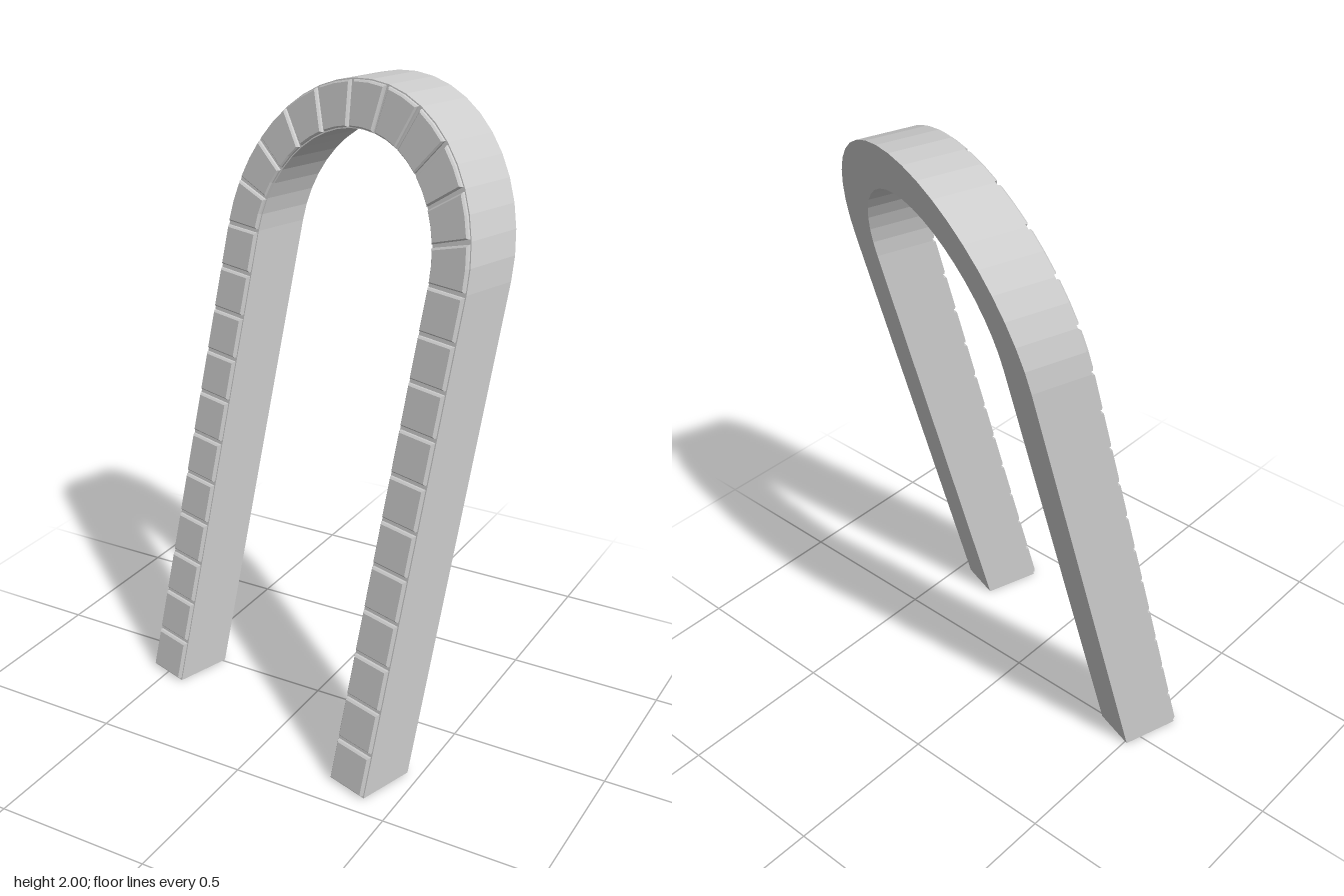
import * as THREE from 'three';

const INNER = 0.366, OUTER = 0.508, SPRING = 1.492; // arch radii and springing height
const DEPTH = 0.2, RELIEF = 0.012;                  // total depth, raised height of the blocks
const COUNT = 11;                                   // blocks per leg and around the arch

// Point at block position u (0..33: left leg up, arch, right leg down) and radius r
function at(u, r) {
  if (u <= COUNT) return new THREE.Vector2(-r, SPRING * u / COUNT);
  if (u >= 2 * COUNT) return new THREE.Vector2(r, SPRING * (3 * COUNT - u) / COUNT);
  const a = Math.PI * (2 - u / COUNT);
  return new THREE.Vector2(r * Math.cos(a), SPRING + r * Math.sin(a));
}

// Closed band between two radii through the given positions
function band(us, inner, outer) {
  return new THREE.Shape([
    ...us.map(u => at(u, outer)),
    ...[...us].reverse().map(u => at(u, inner)),
  ]);
}

export function createModel() {
  const group = new THREE.Group();
  group.name = 'leaningArch';
  const material = new THREE.MeshStandardMaterial({ color: 0xcccccc, flatShading: true });

  // The upright arch leans back by a shear (feet stay level), then turns and moves into place
  const lean = new THREE.Matrix4().set(
    1, 0, 0, 0,
    0, 1, 0, 0,
    0, -0.25, 1, 0,
    0, 0, 0, 1);
  const place = new THREE.Matrix4().makeTranslation(-0.085, 0, 0.2925)
    .multiply(new THREE.Matrix4().makeRotationY(-0.307))
    .multiply(lean);

  const add = (name, geometry, z, parent) => {
    geometry.translate(0, 0, z);
    geometry.applyMatrix4(place);
    const mesh = new THREE.Mesh(geometry, material);
    mesh.name = name;
    parent.add(mesh);
  };

  // Plain arch body: two straight legs and a faceted half ring
  const stops = [0];
  for (let i = 0; i <= 2 * COUNT; i++) stops.push(COUNT + i / 2);
  stops.push(3 * COUNT);
  add('archBody', new THREE.ExtrudeGeometry(band(stops, INNER, OUTER),
    { depth: DEPTH - RELIEF, bevelEnabled: false }), -DEPTH, group);

  // Raised bevelled blocks along the front, parted by narrow joints
  const blocks = new THREE.Group();
  blocks.name = 'frontBlocks';
  group.add(blocks);
  const gap = 0.05, inset = 0.004, bevel = 0.005, sunk = 0.02;
  for (let i = 0; i < 3 * COUNT; i++) {
    const curved = i >= COUNT && i < 2 * COUNT;
    const us = curved ? [i + gap, i + 0.5, i + 1 - gap] : [i + gap, i + 1 - gap];
    const geometry = new THREE.ExtrudeGeometry(band(us, INNER + inset, OUTER - inset), {
      depth: RELIEF + sunk - 2 * bevel,
      bevelThickness: bevel, bevelSize: bevel, bevelOffset: -bevel, bevelSegments: 1,
    });
    add(curved ? 'archBlock' : 'legBlock', geometry, -RELIEF - sunk + bevel, blocks);
  }
  return group;
}
